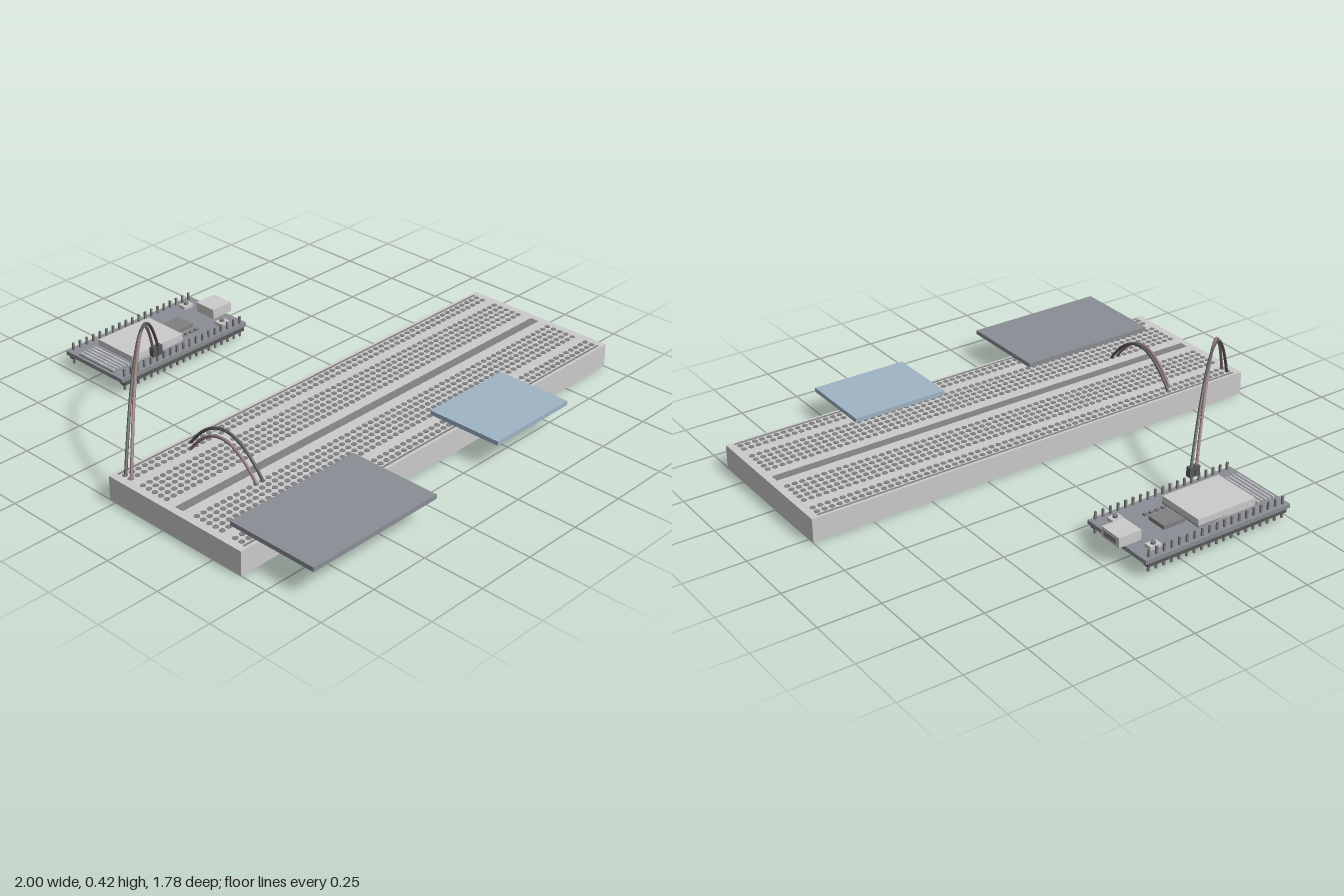
import * as THREE from 'three';
import { mergeGeometries } from 'three/addons/utils/BufferGeometryUtils.js';

const mat = (color) => new THREE.MeshStandardMaterial({ color });
const GREY = mat(0xcccccc);
const DARK = mat(0x808080);
const BLACK = mat(0x5a5a5a);
const SLATE = mat(0x8a8e94);
const BLUE = mat(0xa0b4c6);
const RED_WIRE = mat(0x94797a);
const DARK_WIRE = mat(0x5c5c5c);

// Box geometry given by its extents
function span(x0, x1, y0, y1, z0, z1) {
  return new THREE.BoxGeometry(x1 - x0, y1 - y0, z1 - z0)
    .translate((x0 + x1) / 2, (y0 + y1) / 2, (z0 + z1) / 2);
}

function add(parent, name, geometry, material) {
  const mesh = new THREE.Mesh(geometry, material);
  mesh.name = name;
  parent.add(mesh);
  return mesh;
}

function makeBreadboard() {
  const g = new THREE.Group();
  g.name = 'breadboard';
  add(g, 'boardBody', span(-1, 1, 0, 0.098, -0.03, 0.635), GREY);
  add(g, 'centreChannel', span(-0.97, 0.97, 0.09, 0.0995, 0.284, 0.321), DARK);
  add(g, 'railStripes', mergeGeometries([-0.014, 0.619].map((z) =>
    span(-0.97, 0.97, 0.095, 0.0995, z - 0.004, z + 0.004))), DARK);

  // Contact holes: two power rails and two banks of five rows
  const rows = [0.008, 0.039, 0.566, 0.597];
  for (let i = 0; i < 5; i++) rows.push(0.103 + i * 0.031, 0.378 + i * 0.031);
  const hole = new THREE.CylinderGeometry(0.0115, 0.0115, 0.004, 8).rotateY(Math.PI / 8);
  const holes = [];
  for (const z of rows) {
    for (let i = 0; i < 63; i++) holes.push(hole.clone().translate((i - 31) * 0.0309, 0.098, z));
  }
  add(g, 'contactHoles', mergeGeometries(holes), DARK);
  return g;
}

function makeController() {
  const g = new THREE.Group();
  g.name = 'controllerBoard';
  const top = 0.07;
  add(g, 'circuitBoard', span(-0.487, 0.178, 0.053, top, -0.895, -0.56), SLATE);

  // Radio module with metal shield and antenna traces
  add(g, 'moduleBase', span(-0.475, -0.11, top, top + 0.006, -0.83, -0.625), SLATE);
  add(g, 'metalShield', span(-0.375, -0.11, top, 0.102, -0.83, -0.625), GREY);
  const traces = [];
  for (let i = 0; i < 5; i++) {
    const x = -0.465 + i * 0.0175;
    traces.push(span(x - 0.003, x + 0.003, top, top + 0.008, -0.83, -0.625));
  }
  add(g, 'antennaTraces', mergeGeometries(traces), GREY);

  // Chip and small components
  add(g, 'interfaceChip', span(-0.095, 0, top, 0.086, -0.772, -0.685), DARK);
  add(g, 'smallComponents', mergeGeometries([-0.092, -0.064, -0.037, -0.01].map((x) =>
    span(x - 0.008, x + 0.008, top, 0.079, -0.661, -0.648))), DARK);

  // Port on the short edge
  add(g, 'port', span(0.105, 0.204, top, 0.111, -0.776, -0.676), GREY);
  add(g, 'portSlot', span(0.19, 0.206, 0.08, 0.101, -0.762, -0.69), DARK);

  // Push buttons
  for (const z of [-0.836, -0.62]) {
    add(g, 'buttonBase', span(0.076, 0.124, top, 0.084, z - 0.017, z + 0.017), GREY);
    add(g, 'buttonCap', new THREE.CylinderGeometry(0.01, 0.01, 0.01, 16)
      .translate(0.1, 0.088, z), DARK);
  }

  // Pin headers along both long edges
  for (const z of [-0.879, -0.572]) {
    add(g, 'headerStrip', span(-0.475, 0.165, 0.036, 0.053, z - 0.012, z + 0.012), BLACK);
    const pins = [];
    for (let i = 0; i < 19; i++) {
      const x = -0.155 + (i - 9) * 0.0342;
      pins.push(span(x - 0.004, x + 0.004, 0.012, 0.102, z - 0.004, z + 0.004));
    }
    add(g, 'headerPins', mergeGeometries(pins), DARK);
  }
  return g;
}

// Arched jumper wire whose apex reaches the given height
function addWire(parent, name, a, b, apex, material) {
  const start = new THREE.Vector3(...a);
  const end = new THREE.Vector3(...b);
  const control = start.clone().lerp(end, 0.5);
  control.y = 2 * apex - control.y;
  const curve = new THREE.QuadraticBezierCurve3(start, control, end);
  add(parent, name, new THREE.TubeGeometry(curve, 40, 0.006, 8), material);
}

function makeWires() {
  const g = new THREE.Group();
  g.name = 'jumperWires';
  addWire(g, 'longWireRed', [-0.957, 0.095, 0.041], [-0.312, 0.13, -0.572], 0.415, RED_WIRE);
  addWire(g, 'longWireDark', [-0.957, 0.095, 0.01], [-0.286, 0.13, -0.572], 0.415, DARK_WIRE);
  addWire(g, 'shortWireRed', [-0.68, 0.095, 0.041], [-0.68, 0.095, 0.385], 0.213, RED_WIRE);
  addWire(g, 'shortWireDark', [-0.649, 0.095, 0.008], [-0.649, 0.095, 0.385], 0.225, DARK_WIRE);
  // Plug housings on the controller pins
  for (const x of [-0.31, -0.284]) {
    add(g, 'wirePlug', span(x - 0.011, x + 0.011, 0.1, 0.14, -0.583, -0.561), BLACK);
  }
  return g;
}

export function createModel() {
  const model = new THREE.Group();
  model.name = 'breadboardCircuit';
  model.add(makeBreadboard(), makeController(), makeWires());
  // Flat modules resting on the front edge
  add(model, 'darkModule', span(-0.92, -0.315, 0.1, 0.118, 0.5, 0.89), SLATE);
  add(model, 'blueModule', span(0.1, 0.508, 0.1, 0.118, 0.5, 0.82), BLUE);
  return model;
}
